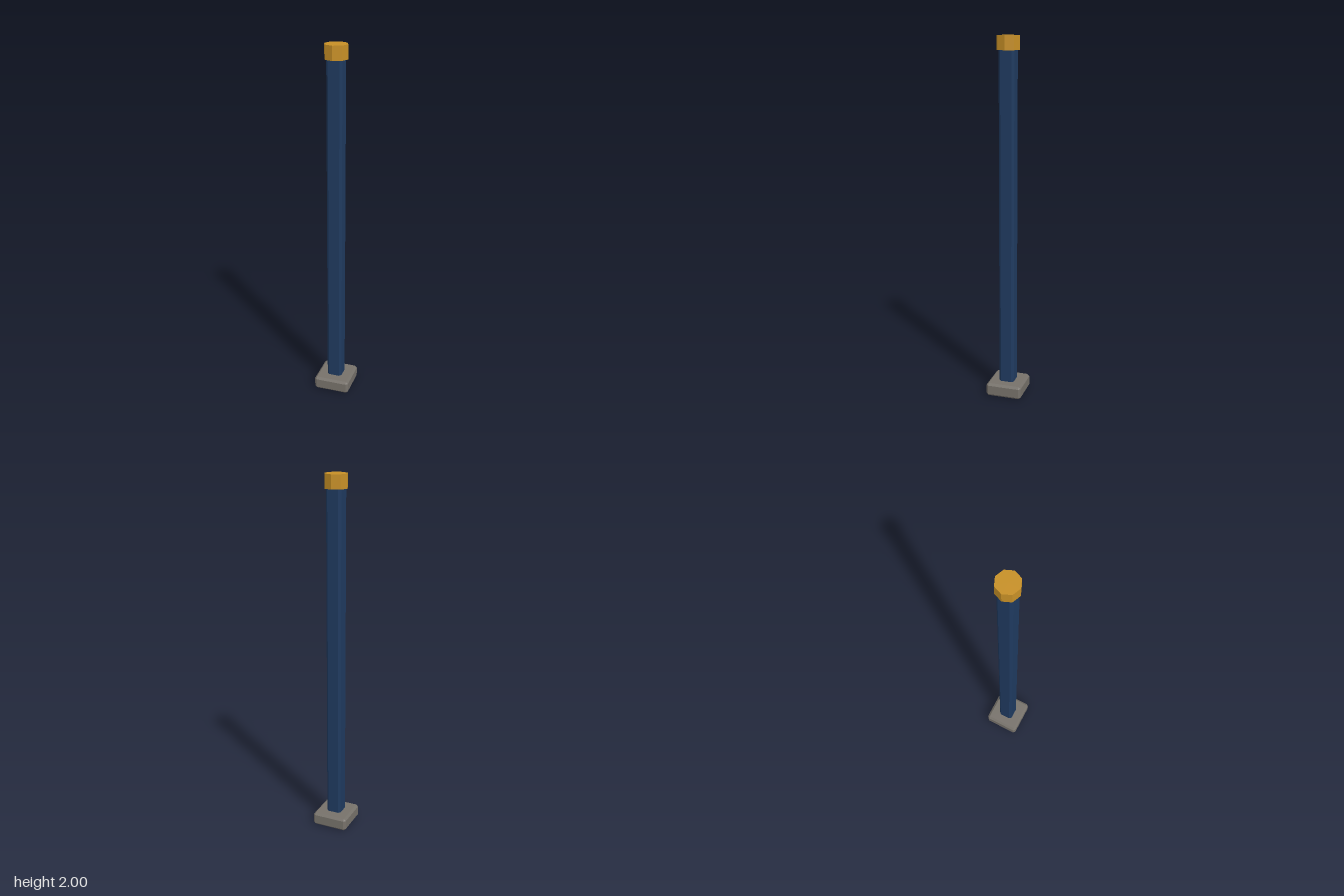
import * as THREE from 'three';
import { ConvexGeometry } from 'three/addons/geometries/ConvexGeometry.js';

// Box with every edge cut by one flat chamfer; stands on y = y0
function chamferedBox(w, h, d, c, y0) {
  const points = [];
  for (const sx of [-1, 1]) for (const sy of [-1, 1]) for (const sz of [-1, 1]) {
    for (let axis = 0; axis < 3; axis++) {
      const cut = [c, c, c];
      cut[axis] = 0;
      points.push(new THREE.Vector3(
        sx * (w / 2 - cut[0]),
        y0 + h / 2 + sy * (h / 2 - cut[1]),
        sz * (d / 2 - cut[2])));
    }
  }
  return new ConvexGeometry(points);
}

function material(name, color) {
  const m = new THREE.MeshStandardMaterial({ color });
  m.name = name;
  return m;
}

export function createModel() {
  const model = new THREE.Group();
  model.name = 'post';
  const add = (name, geometry, mat) => {
    const mesh = new THREE.Mesh(geometry, mat);
    mesh.name = name;
    model.add(mesh);
    return mesh;
  };

  // Square foot, a hair above the shaft's end so the shaft shows underneath
  add('base', chamferedBox(0.202, 0.075, 0.202, 0.012, 0.001), material('stone grey', 0x76716a));

  // Shaft runs through the foot and up into the cap
  add('shaft', chamferedBox(0.085, 1.95, 0.085, 0.012, 0), material('navy blue', 0x1f3a5f));

  // Eight-sided cap
  const capGeometry = new THREE.CylinderGeometry(0.063, 0.063, 0.075, 8).toNonIndexed();
  capGeometry.computeVertexNormals();
  const cap = add('cap', capGeometry, material('brass', 0xc68f26));
  cap.position.y = 1.9625;

  return model;
}
